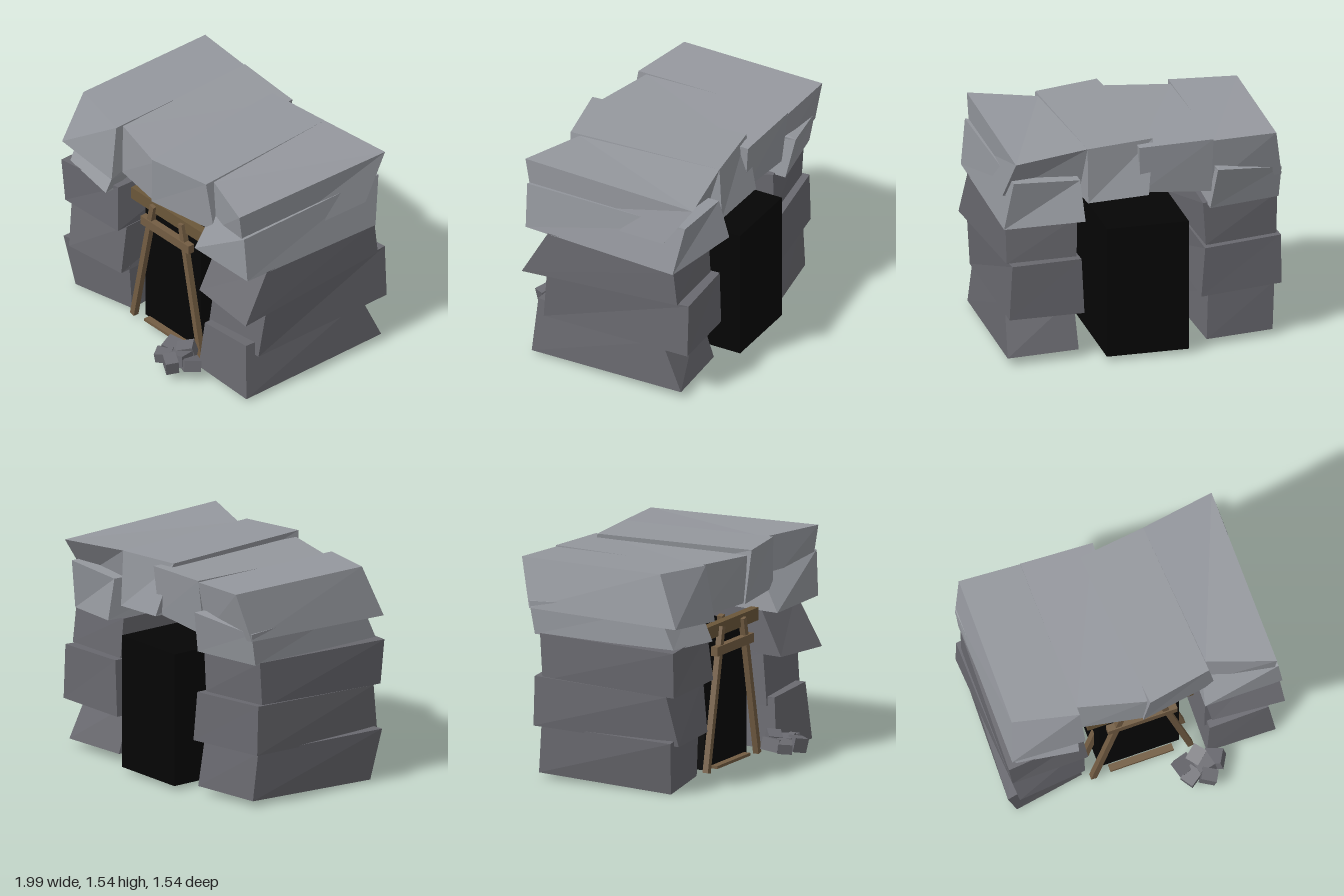
import * as THREE from 'three';

const mat = (name, color) => {
  const m = new THREE.MeshStandardMaterial({ color });
  m.name = name;
  return m;
};

// Hewn block: four front corners then four back corners,
// each ring ordered (low -x, low +x, high +x, high -x)
const FACES = [[0, 1, 2, 3], [5, 4, 7, 6], [1, 5, 6, 2], [4, 0, 3, 7], [3, 2, 6, 7], [4, 5, 1, 0]];
function block(name, material, front, back) {
  const p = [...front, ...back];
  const pos = [];
  for (const [a, b, c, d] of FACES) for (const i of [a, b, c, a, c, d]) pos.push(...p[i]);
  const g = new THREE.BufferGeometry();
  g.setAttribute('position', new THREE.Float32BufferAttribute(pos, 3));
  g.computeVertexNormals();
  const m = new THREE.Mesh(g, material);
  m.name = name;
  return m;
}

function box(name, material, size, position, rotation = [0, 0, 0]) {
  const m = new THREE.Mesh(new THREE.BoxGeometry(...size), material);
  m.name = name;
  m.position.set(...position);
  m.rotation.set(...rotation);
  return m;
}

export function createModel() {
  const root = new THREE.Group();
  root.name = 'mineEntrance';
  const dark = mat('dark stone', 0x69696f);
  const light = mat('light stone', 0x95989e);
  const wood = mat('timber', 0x735d43);
  const beamWood = mat('beam timber', 0x6b573a);
  const black = mat('tunnel black', 0x050505);

  // Pillar on the -x side, bottom to top
  const pillarR = new THREE.Group();
  pillarR.name = 'rightPillar';
  pillarR.add(
    block('pillarBase', dark,
      [[-0.92, 0, 0.44], [-0.42, 0.02, 0.36], [-0.43, 0.4, 0.38], [-1, 0.375, 0.48]],
      [[-0.93, 0.04, -0.59], [-0.44, 0.05, -0.68], [-0.46, 0.38, -0.64], [-0.95, 0.38, -0.56]]),
    block('pillarMiddle', dark,
      [[-0.92, 0.34, 0.5], [-0.43, 0.34, 0.45], [-0.42, 0.71, 0.41], [-0.97, 0.69, 0.43]],
      [[-0.99, 0.38, -0.6], [-0.4, 0.37, -0.69], [-0.43, 0.72, -0.68], [-0.99, 0.73, -0.59]]),
    block('pillarUpper', dark,
      [[-0.97, 0.69, 0.49], [-0.42, 0.71, 0.49], [-0.45, 1.04, 0.46], [-1, 1.01, 0.5]],
      [[-0.97, 0.7, -0.54], [-0.45, 0.72, -0.62], [-0.43, 1.03, -0.62], [-0.97, 1.03, -0.56]]),
    block('pillarCap', light,
      [[-0.94, 1.02, 0.47], [-0.5, 1, 0.53], [-0.48, 1.3, 0.38], [-0.94, 1.3, 0.34]],
      [[-0.97, 1.02, -0.6], [-0.46, 1.02, -0.7], [-0.5, 1.32, -0.76], [-0.98, 1.25, -0.64]]));

  // Pillar on the +x side
  const pillarL = new THREE.Group();
  pillarL.name = 'leftPillar';
  pillarL.add(
    block('pillarBase', dark,
      [[0.44, 0.04, 0.5], [0.94, 0.02, 0.5], [0.9, 0.425, 0.47], [0.47, 0.4, 0.47]],
      [[0.46, 0.06, -0.66], [0.97, 0.055, -0.69], [0.95, 0.4, -0.53], [0.47, 0.4, -0.55]]),
    block('pillarMiddle', dark,
      [[0.45, 0.34, 0.42], [0.95, 0.33, 0.4], [0.98, 0.68, 0.36], [0.47, 0.7, 0.38]],
      [[0.43, 0.34, -0.7], [0.97, 0.355, -0.74], [0.95, 0.745, -0.74], [0.45, 0.74, -0.7]]),
    block('pillarUpper', dark,
      [[0.47, 0.69, 0.52], [0.99, 0.665, 0.55], [0.98, 1.02, 0.35], [0.48, 1.01, 0.36]],
      [[0.47, 0.72, -0.64], [0.97, 0.74, -0.66], [0.97, 0.99, -0.63], [0.46, 1.02, -0.62]]),
    block('pillarCap', light,
      [[0.42, 1.01, 0.52], [0.98, 1.02, 0.525], [0.95, 1.35, 0.53], [0.45, 1.3, 0.36]],
      [[0.44, 1.04, -0.77], [0.98, 0.98, -0.63], [0.93, 1.34, -0.7], [0.46, 1.32, -0.7]]));

  // Roof slabs from -x to +x
  const roof = new THREE.Group();
  roof.name = 'roof';
  roof.add(
    block('roofSlabOuterRight', light,
      [[-0.98, 1.175, 0.51], [-0.45, 1.13, 0.52], [-0.47, 1.52, 0.46], [-0.93, 1.54, 0.36]],
      [[-0.98, 1.2, -0.64], [-0.48, 1.15, -0.64], [-0.48, 1.52, -0.71], [-0.92, 1.54, -0.73]]),
    block('roofSlabInnerRight', light,
      [[-0.46, 1.15, 0.42], [-0.02, 1.17, 0.51], [0, 1.5, 0.52], [-0.47, 1.51, 0.4]],
      [[-0.48, 1.13, -0.66], [0.02, 1.17, -0.66], [0.04, 1.51, -0.69], [-0.48, 1.53, -0.71]]),
    block('roofSlabInnerLeft', light,
      [[-0.03, 1.165, 0.52], [0.52, 1.16, 0.43], [0.47, 1.53, 0.46], [0.01, 1.54, 0.55]],
      [[-0.02, 1.17, -0.72], [0.4, 1.14, -0.69], [0.4, 1.53, -0.67], [-0.08, 1.54, -0.61]]),
    block('roofSlabOuterLeft', light,
      [[0.5, 1.16, 0.4], [0.92, 1.17, 0.5], [0.93, 1.53, 0.555], [0.47, 1.52, 0.39]],
      [[0.44, 1.16, -0.58], [0.97, 1.2, -0.55], [0.93, 1.5, -0.76], [0.4, 1.53, -0.67]]));

  // Dark tunnel volume
  const tunnel = box('tunnel', black, [0.58, 0.94, 1.12], [0, 0.5, -0.21]);

  // Timber supports: leaning legs at the mouth, a second pair set back
  const timber = new THREE.Group();
  timber.name = 'timberFrame';
  for (const z of [0.4, 0.23]) {
    for (const s of [-1, 1]) {
      timber.add(box('frameLeg', wood, [0.042, 1.01, 0.042], [s * 0.25, 0.525, z], [0, 0, s * 0.205]));
    }
  }
  timber.add(
    box('lintelBeam', beamWood, [0.77, 0.09, 0.06], [-0.005, 1, 0.365]),
    box('collarBeam', wood, [0.505, 0.065, 0.05], [0, 0.863, 0.405]),
    box('sillPlank', wood, [0.46, 0.02, 0.05], [0, 0.045, 0.39]));

  // Loose rubble beside the mouth: position, size, rotation
  const rubble = new THREE.Group();
  rubble.name = 'rubble';
  const stones = [
    [[0.245, 0.13, 0.57], [0.11, 0.09, 0.12], [0.2, 0.3, -0.25]],
    [[0.35, 0.14, 0.53], [0.12, 0.1, 0.1], [0.2, 0.7, 0.15]],
    [[0.46, 0.11, 0.59], [0.13, 0.08, 0.12], [-0.15, -0.5, 0.2]],
    [[0.27, 0.12, 0.66], [0.12, 0.07, 0.1], [0.1, 0.6, 0.1]],
    [[0.38, 0.12, 0.7], [0.11, 0.1, 0.09], [0.1, -0.5, -0.15]],
    [[0.38, 0.125, 0.61], [0.12, 0.09, 0.12], [-0.1, 0.2, 0.15]],
  ];
  for (const [p, s, r] of stones) rubble.add(box('rubbleStone', dark, s, p, r));

  root.add(pillarR, pillarL, roof, tunnel, timber, rubble);
  return root;
}
